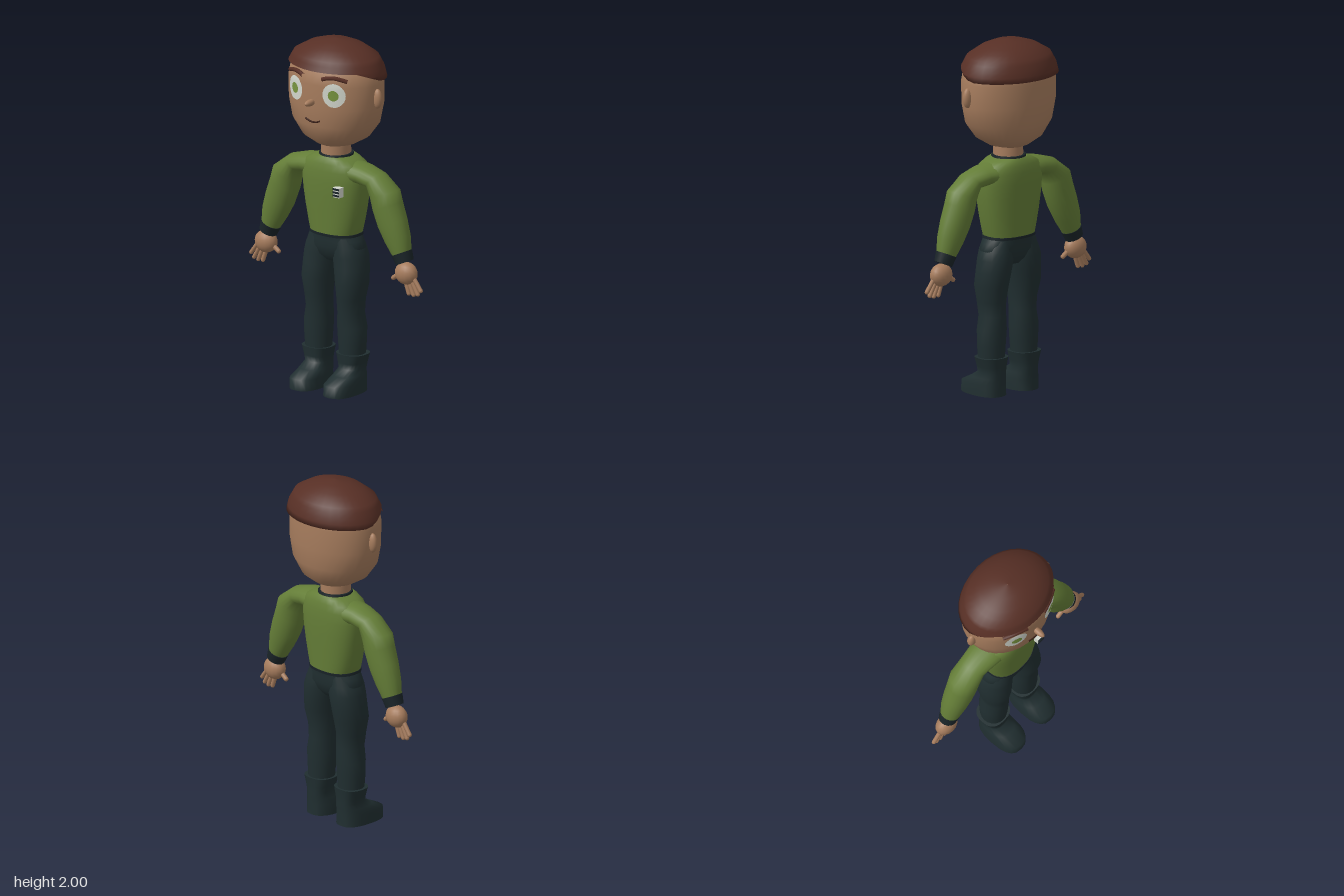
import * as THREE from 'three';

const mat = (name, color, side = THREE.FrontSide) => {
  const m = new THREE.MeshStandardMaterial({ color, side });
  m.name = name;
  return m;
};

// Loft through rings [cx, cy, cz, ru, rz, tilt in degrees], listed bottom to top.
function loft(rings, n = 20, p = 2) {
  const pos = [], idx = [];
  const power = v => Math.sign(v) * Math.abs(v) ** (2 / p);
  const addRing = ([cx, cy, cz, ru, rz, tilt = 0]) => {
    const a = THREE.MathUtils.degToRad(tilt);
    for (let j = 0; j < n; j++) {
      const t = j / n * Math.PI * 2, u = ru * power(Math.cos(t));
      pos.push(cx + u * Math.cos(a), cy + u * Math.sin(a), cz + rz * power(Math.sin(t)));
    }
  };
  rings.forEach(addRing);
  for (let i = 0; i < rings.length - 1; i++) for (let j = 0; j < n; j++) {
    const k = (j + 1) % n, a = i * n + j, b = i * n + k;
    idx.push(a, a + n, b, b, a + n, b + n);
  }
  // End caps with their own vertices keep the rims crisp
  [rings[0], rings.at(-1)].forEach((r, top) => {
    const s = pos.length / 3;
    addRing(r);
    pos.push(r[0], r[1], r[2]);
    for (let j = 0; j < n; j++) {
      const a = s + j, b = s + (j + 1) % n;
      idx.push(s + n, ...(top ? [b, a] : [a, b]));
    }
  });
  return build(pos, idx);
}

function build(pos, idx) {
  const g = new THREE.BufferGeometry();
  g.setAttribute('position', new THREE.Float32BufferAttribute(pos, 3));
  g.setIndex(idx);
  g.computeVertexNormals();
  return g;
}

function mirrored(geo) {
  const g = geo.clone().scale(-1, 1, 1), a = g.index.array;
  for (let i = 0; i < a.length; i += 3) [a[i], a[i + 1]] = [a[i + 1], a[i]];
  return g;
}

// Radii [y, rx, rz] interpolated by height
function radiiAt(profile, y) {
  let i = 1;
  while (i < profile.length - 1 && y > profile[i][0]) i++;
  const a = profile[i - 1], b = profile[i];
  const t = THREE.MathUtils.clamp((y - a[0]) / (b[0] - a[0]), 0, 1);
  return [a[1] + (b[1] - a[1]) * t, a[2] + (b[2] - a[2]) * t];
}

const CZ = -0.02;
const HEAD = [[1.4, 0.085, 0.095], [1.41, 0.12, 0.117], [1.455, 0.195, 0.175], [1.54, 0.262, 0.207],
  [1.65, 0.288, 0.216], [1.78, 0.29, 0.218], [1.86, 0.272, 0.21], [1.93, 0.2, 0.15]];
const HAIR = [[1.8, 0.302, 0.238], [1.86, 0.286, 0.226], [1.915, 0.255, 0.2], [1.965, 0.168, 0.135],
  [1.99, 0.09, 0.075], [2, 0.001, 0.001]];

const faceZ = (x, y) => {
  const [rx, rz] = radiiAt(HEAD, y);
  return CZ + rz * Math.sqrt(Math.max(0, 1 - (x / rx) ** 2));
};

// Disc wrapped onto the face
function faceDisc(x, y, rx, ry, lift) {
  const g = new THREE.RingGeometry(0.001, 1, 24, 4).scale(rx, ry, 1).translate(x, y, 0);
  const p = g.attributes.position;
  for (let i = 0; i < p.count; i++) p.setZ(i, faceZ(p.getX(i), p.getY(i)) + lift);
  g.computeVertexNormals();
  return g;
}

const faceTube = (pts, r) => new THREE.TubeGeometry(new THREE.CatmullRomCurve3(
  pts.map(([x, y]) => new THREE.Vector3(x, y, faceZ(x, y) + r * 0.5))), 12, r, 6);

// Cap of hair whose edge sits high over the brow and lower at sides and back
function hairGeometry(n = 32) {
  const pos = [], idx = [];
  const heights = [1.8, 1.8, 1.83, 1.86, 1.89, 1.915, 1.942, 1.965, 1.99, 2];
  heights.forEach((h, i) => {
    for (let j = 0; j < n; j++) {
      const t = j / n * Math.PI * 2, c = Math.cos(t), s = Math.sin(t);
      const edge = 1.8 + 0.06 * THREE.MathUtils.clamp((s * 0.23 + 0.02) / 0.15, 0, 1);
      const y = Math.max(h, edge), [rx, rz] = radiiAt(HAIR, y), k = i ? 1 : 0.86;
      pos.push(c * rx * k, y, CZ + s * rz * k);
    }
  });
  for (let i = 0; i < heights.length - 1; i++) for (let j = 0; j < n; j++) {
    const a = i * n + j, b = i * n + (j + 1) % n;
    idx.push(a, a + n, b, b, a + n, b + n);
  }
  return build(pos, idx);
}

// Rounded finger between two points in the plane of the hand
function finger([x0, y0], [x1, y1], r) {
  const len = Math.hypot(x1 - x0, y1 - y0);
  return new THREE.CapsuleGeometry(r, len - r, 3, 8)
    .rotateZ(Math.atan2(y1 - y0, x1 - x0) - Math.PI / 2)
    .translate((x0 + x1) / 2, (y0 + y1) / 2, -0.015);
}

const ball = (x, y, z, rx, ry, rz) => new THREE.SphereGeometry(1, 16, 12).scale(rx, ry, rz).translate(x, y, z);

export function createModel() {
  const root = new THREE.Group();
  root.name = 'figure';
  const skin = mat('skin', 0xa67c5d), hair = mat('hair brown', 0x572f25), shirt = mat('shirt green', 0x647d37),
    trousers = mat('trouser dark teal', 0x202e30), trim = mat('trim dark', 0x1a2428),
    white = mat('eye white', 0xd3d7cd, THREE.DoubleSide), iris = mat('iris green', 0x78953f, THREE.DoubleSide),
    lip = mat('mouth dark', 0x3c2119);

  const add = (name, geo, m) => {
    const mesh = new THREE.Mesh(geo, m);
    mesh.name = name;
    root.add(mesh);
  };
  const pair = (name, geo, m) => {
    add(name + 'Left', geo, m);
    add(name + 'Right', mirrored(geo), m);
  };

  // Head and face
  add('head', loft(HEAD.map(([y, rx, rz]) => [0, y, CZ, rx, rz]), 32), skin);
  add('hair', hairGeometry(), hair);
  add('nose', ball(0, 1.68, 0.215, 0.019, 0.019, 0.044), skin);
  add('mouth', faceTube([[-0.052, 1.578], [-0.025, 1.568], [0, 1.565], [0.025, 1.568], [0.052, 1.578]], 0.005), lip);
  pair('ear', ball(0.292, 1.705, -0.012, 0.03, 0.056, 0.023), skin);
  pair('eye', faceDisc(0.133, 1.735, 0.062, 0.068, 0.005), white);
  pair('iris', faceDisc(0.133, 1.735, 0.029, 0.03, 0.008), iris);
  pair('eyebrow', faceTube([[0.066, 1.822], [0.1, 1.832], [0.14, 1.834], [0.2, 1.818]], 0.012), hair);

  // Neck and collar
  add('neck', loft([[0, 1.31, -0.016, 0.084, 0.086], [0, 1.43, -0.016, 0.08, 0.085]]), skin);
  add('collar', loft([[0, 1.325, CZ, 0.1, 0.1], [0, 1.347, CZ, 0.096, 0.094]]), trim);

  // Torso
  add('shirtBody', loft([
    [0, 0.895, CZ, 0.15, 0.114], [0, 0.95, CZ, 0.165, 0.117], [0, 1.03, CZ, 0.183, 0.121],
    [0, 1.12, CZ, 0.198, 0.126], [0, 1.2, CZ, 0.206, 0.128], [0, 1.26, CZ, 0.205, 0.125],
    [0, 1.3, CZ, 0.18, 0.118], [0, 1.325, CZ, 0.13, 0.108], [0, 1.337, CZ, 0.095, 0.098]], 28, 2.4), shirt);
  add('waistband', loft([[0, 0.885, CZ, 0.156, 0.115], [0, 0.9, CZ, 0.154, 0.117]], 28, 2.4), trim);

  // Chest badge
  add('badge', new THREE.BoxGeometry(0.045, 0.056, 0.04).translate(0.112, 1.162, 0.107), white);
  for (const y of [1.145, 1.163, 1.181])
    add('badgeStripe', new THREE.BoxGeometry(0.042, 0.011, 0.004).translate(0.112, y, 0.128), trim);

  // Sleeves, cuffs and hands
  pair('sleeve', loft([
    [0.458, 0.846, CZ, 0.057, 0.054, 24], [0.427, 0.925, CZ, 0.079, 0.068, 20], [0.392, 1.01, CZ, 0.09, 0.078, 22],
    [0.358, 1.1, CZ, 0.09, 0.084, 22], [0.34, 1.165, CZ, 0.088, 0.086, 22], [0.278, 1.235, CZ, 0.056, 0.08, 50],
    [0.2, 1.252, CZ, 0.057, 0.09, 80], [0.11, 1.255, CZ, 0.068, 0.1, 88]]), shirt);
  pair('cuff', loft([[0.478, 0.798, CZ, 0.053, 0.05, 24], [0.456, 0.85, CZ, 0.061, 0.058, 24]], 16), trim);
  pair('palm', ball(0.49, 0.738, -0.017, 0.07, 0.064, 0.052), skin);
  const tips = [[0.512, 0.62], [0.545, 0.618], [0.575, 0.626], [0.596, 0.65]];
  tips.forEach((tip, i) => pair('finger' + (i + 1), finger([0.48 + i * 0.02, 0.71 + i * 0.005], tip, 0.0125), skin));
  pair('thumb', finger([0.47, 0.745], [0.396, 0.692], 0.0135), skin);

  // Trousers
  add('hips', loft([
    [0, 0.735, CZ, 0.07, 0.06], [0, 0.77, CZ, 0.165, 0.09], [0, 0.82, CZ, 0.185, 0.105],
    [0, 0.86, CZ, 0.17, 0.104], [0, 0.89, CZ, 0.152, 0.108]], 28, 2.3), trousers);
  pair('trouserLeg', loft([
    [0.118, 0.19, -0.012, 0.073, 0.073], [0.118, 0.28, -0.011, 0.08, 0.078], [0.116, 0.37, -0.012, 0.084, 0.082],
    [0.11, 0.45, -0.01, 0.073, 0.082], [0.113, 0.53, -0.006, 0.079, 0.086], [0.117, 0.62, -0.01, 0.091, 0.103],
    [0.108, 0.7, -0.018, 0.097, 0.104], [0.099, 0.77, -0.023, 0.099, 0.106], [0.09, 0.82, CZ, 0.094, 0.1],
    [0.08, 0.88, CZ, 0.072, 0.092]]), trousers);

  // Boots
  pair('boot', loft([
    [0.118, 0, 0.053, 0.086, 0.145], [0.118, 0.062, 0.053, 0.085, 0.143], [0.117, 0.1, 0.012, 0.075, 0.104],
    [0.117, 0.132, -0.014, 0.068, 0.078], [0.118, 0.165, -0.014, 0.075, 0.079], [0.12, 0.217, -0.014, 0.089, 0.084]],
    20, 2.6), trousers);
  return root;
}
